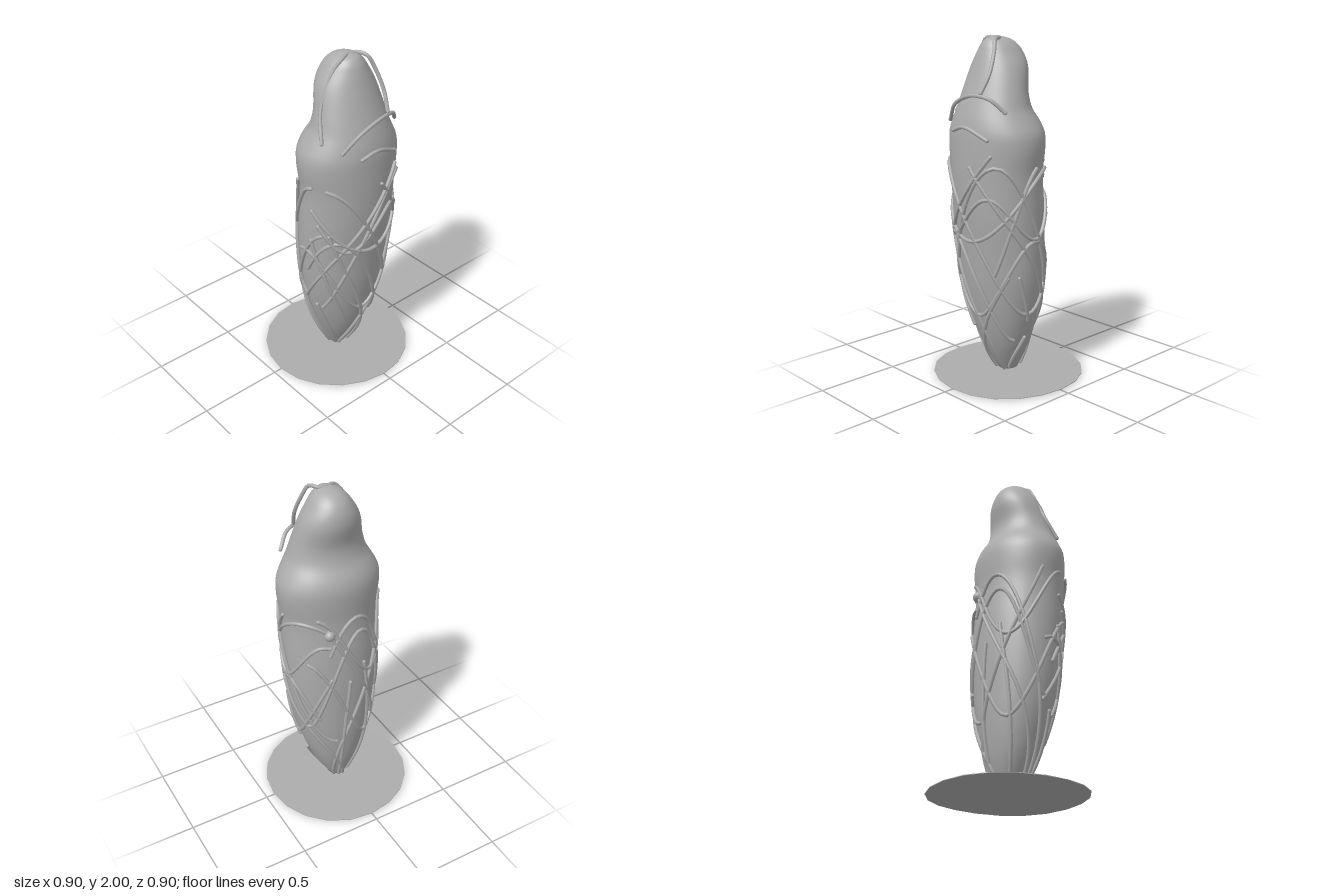
import * as THREE from 'three';
import { mergeGeometries } from 'three/addons/utils/BufferGeometryUtils.js';

const shell = new THREE.MeshStandardMaterial({ color: 0xacacac });
shell.name = 'cocoon grey';

// Body profile rows: y, half width, front z, back z
const profile = [
  [0.02, 0.055, 0.06, -0.06], [0.1, 0.1, 0.11, -0.09], [0.2, 0.15, 0.16, -0.12],
  [0.4, 0.22, 0.225, -0.15], [0.6, 0.262, 0.265, -0.162], [0.8, 0.28, 0.29, -0.167],
  [1.0, 0.288, 0.315, -0.162], [1.25, 0.291, 0.328, -0.145], [1.4, 0.308, 0.328, -0.15],
  [1.47, 0.303, 0.326, -0.147], [1.53, 0.275, 0.317, -0.128], [1.6, 0.236, 0.298, -0.085],
  [1.68, 0.212, 0.27, -0.064], [1.84, 0.166, 0.217, -0.084], [1.91, 0.126, 0.194, -0.068],
  [1.96, 0.088, 0.172, -0.03], [1.985, 0.052, 0.146, 0.015], [1.995, 0.022, 0.112, 0.055],
];
const section = new THREE.CubicInterpolant(
  profile.map((r) => r[0]), profile.flatMap((r) => r.slice(1)), 3);

// Point on the body: angle 0 faces front, 90 degrees faces +x
function onBody(degrees, y, lift = 0) {
  const a = THREE.MathUtils.degToRad(degrees);
  const [w, front, back] = section.evaluate(y);
  const mid = (front + back) / 2, depth = (front - back) / 2;
  return new THREE.Vector3((w + lift) * Math.sin(a), y, mid + (depth + lift) * Math.cos(a));
}

// Smooth lofted body, closed at both ends
function bodyGeometry(rows = 80, sides = 64) {
  const pos = [], index = [];
  for (let i = 0; i <= rows; i++) {
    const y = 0.02 + 1.975 * Math.sin((i / rows) * Math.PI / 2);
    for (let j = 0; j < sides; j++) pos.push(...onBody((j / sides) * 360, y).toArray());
  }
  const at = (i, j) => i * sides + (j % sides);
  for (let i = 0; i < rows; i++)
    for (let j = 0; j < sides; j++)
      index.push(at(i, j), at(i, j + 1), at(i + 1, j), at(i, j + 1), at(i + 1, j + 1), at(i + 1, j));
  const bottom = pos.length / 3;
  pos.push(0, 0.014, 0, 0, 1.997, 0.084);
  for (let j = 0; j < sides; j++) {
    index.push(bottom, at(0, j + 1), at(0, j));
    index.push(bottom + 1, at(rows, j), at(rows, j + 1));
  }
  const g = new THREE.BufferGeometry();
  g.setAttribute('position', new THREE.Float32BufferAttribute(pos, 3));
  g.setIndex(index);
  g.computeVertexNormals();
  return g;
}

// Round thread with rounded ends
function thread(points, radius = 0.011) {
  const curve = new THREE.CatmullRomCurve3(points);
  const ends = [points[0], points[points.length - 1]].map((p) =>
    new THREE.SphereGeometry(radius, 8, 6).translate(p.x, p.y, p.z));
  return mergeGeometries([new THREE.TubeGeometry(curve, 48, radius, 7), ...ends]);
}

// Thread that hugs the body between two angles, its height given by a rule
function hug(from, to, height, steps = 24) {
  const points = [];
  for (let i = 0; i <= steps; i++) {
    const t = i / steps, a = THREE.MathUtils.lerp(from, to, t);
    points.push(onBody(a, Math.max(height(a, t), 0.025), 0.007));
  }
  return thread(points);
}

// Waving threads: from angle, to angle, middle height, swing, waves per turn, angle of the peak
const waves = [
  [-58, 157, 0.86, 0.44, 1.25, -62],
  [-65, 160, 0.85, 0.45, 1.5, 40],
  [-70, 157, 1.0, 0.12, 3, 30],
  [-80, 165, 1.065, 0.205, 1.44, 125],
  [-85, 60, 0.6, 0.35, 1.7, -45],
  [-100, 140, 0.635, 0.235, 2, 90],
  [33, 95, 0.87, 0.45, 1.5, 110],
  [157, 310, 0.66, 0.62, 1.5, 190],
  [145, 280, 1.09, 0.21, 2.6, 280],
  [130, 295, 0.7, 0.3, 2.1, 127],
  [120, 265, 0.85, 0.33, 2.4, 195],
];

// Slanting threads: from angle, from height, to angle, to height
const slants = [
  [33, 1.36, -95, 0.5], [8, 1.29, 185, 0.04], [-80, 0.95, -28, 0.31],
  [50, 0.66, -30, 0.03], [-55, 1.0, 30, 0.03], [157, 1.2, 280, 0.04],
  [250, 1.3, 140, 0.04], [200, 0.95, 230, 0.04], [65, 0.66, 85, 0.38],
  [180, 0.85, 165, 0.04], [-75, 0.45, -45, 0.04], [85, 0.26, 55, 0.04],
];

// Loose threads over chest and head: x, y, z
const loose = [
  [[-0.19, 1.53, 0.27], [-0.1, 1.63, 0.31], [0.04, 1.685, 0.318], [0.15, 1.67, 0.285], [0.22, 1.6, 0.23]],
  [[-0.1, 1.485, 0.325], [0, 1.51, 0.335], [0.155, 1.45, 0.305]],
  [[0.1, 1.7, 0.3], [0.115, 1.8, 0.25], [0.095, 1.92, 0.195], [0.07, 1.982, 0.165], [0.045, 1.99, 0.11],
    [0, 1.99, 0.097], [-0.055, 1.985, 0.115], [-0.11, 1.92, 0.1], [-0.2, 1.73, 0.106], [-0.25, 1.57, 0.17]],
];

export function createModel() {
  const model = new THREE.Group();
  model.name = 'cocoon';
  const add = (name, geometry) => {
    const mesh = new THREE.Mesh(geometry, shell);
    mesh.name = name;
    model.add(mesh);
    return mesh;
  };

  add('body', bodyGeometry());

  for (const [from, to, mid, swing, turns, peak] of waves)
    add('wavingThread', hug(from, to, (a) =>
      mid + swing * Math.cos(THREE.MathUtils.degToRad(turns * (a - peak)))));

  for (const [from, y0, to, y1] of slants)
    add('slantingThread', hug(from, to, (a, t) => THREE.MathUtils.lerp(y0, y1, t)));

  for (const path of loose)
    add('looseThread', thread(path.map((p) => new THREE.Vector3(...p))));

  // Knot where the threads meet at the back
  const knot = add('knot', new THREE.SphereGeometry(0.032, 16, 12));
  knot.position.copy(onBody(157, 1.2, 0.008));

  // Thin twenty-sided ground disc with a slightly wavy rim
  const disc = new THREE.CylinderGeometry(0.45, 0.45, 0.004, 20);
  const p = disc.attributes.position;
  for (let i = 0; i < p.count; i++) {
    const r = Math.hypot(p.getX(i), p.getZ(i)) / 0.45;
    const a = Math.atan2(p.getZ(i), p.getX(i));
    p.setY(i, p.getY(i) + 0.006 + r * 0.004 * Math.cos(3 * a));
  }
  add('groundDisc', disc);

  return model;
}
